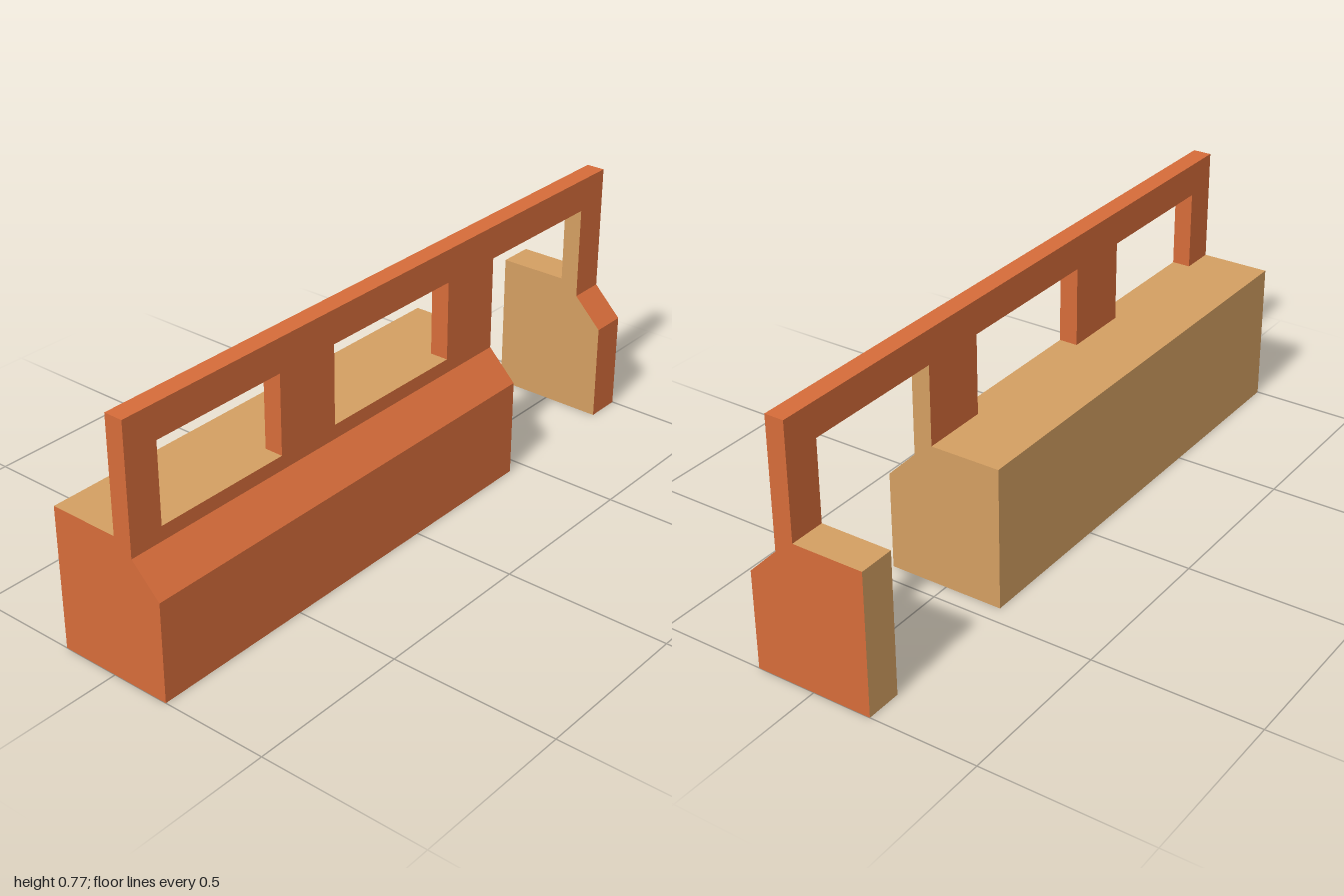
import * as THREE from 'three';

const orange = new THREE.MeshStandardMaterial({ color: 0xd66c3a, flatShading: true });
const tan = new THREE.MeshStandardMaterial({ color: 0xd49f62, flatShading: true });

const shapeOf = (points) => new THREE.Shape(points.map(([a, b]) => new THREE.Vector2(a, b)));

// Splits a solid into an orange and a tan mesh; rule(normal, centre) picks the colour, null drops hidden faces
function painted(name, geometry, rule) {
  const group = new THREE.Group();
  group.name = name;
  const source = geometry.index ? geometry.toNonIndexed() : geometry;
  const pos = source.attributes.position;
  const sets = new Map([[orange, []], [tan, []]]);
  const tri = new THREE.Triangle();
  const normal = new THREE.Vector3();
  const centre = new THREE.Vector3();
  for (let i = 0; i < pos.count; i += 3) {
    tri.setFromAttributeAndIndices(pos, i, i + 1, i + 2);
    tri.getNormal(normal);
    tri.getMidpoint(centre);
    const material = rule(normal, centre);
    if (!material) continue;
    for (const v of [tri.a, tri.b, tri.c]) sets.get(material).push(v.x, v.y, v.z);
  }
  for (const [material, list] of sets) {
    if (!list.length) continue;
    const part = new THREE.BufferGeometry();
    part.setAttribute('position', new THREE.Float32BufferAttribute(list, 3));
    part.computeVertexNormals();
    const mesh = new THREE.Mesh(part, material);
    mesh.name = name + (material === tan ? 'Inside' : 'Outside');
    group.add(mesh);
  }
  return group;
}

const DOOR = [0.445, 0.89]; // door opening in x
const SILL = 0.43, HEAD = 0.67, TOP = 0.77;
const WALL_BACK = 0.035, WALL_FRONT = 0.092;

// Base block with a sloped front shoulder, running from x0 to x1
function baseBlock(name, x0, x1, innerSide) {
  const profile = shapeOf([
    [-0.178, 0], [0.18, 0], [0.18, 0.298], [WALL_FRONT, 0.387], [WALL_FRONT, SILL], [-0.178, SILL],
  ]);
  const geometry = new THREE.ExtrudeGeometry(profile, { depth: x1 - x0, bevelEnabled: false });
  geometry.rotateY(-Math.PI / 2).translate(x1, 0, 0);
  return painted(name, geometry, (n) => {
    const inside = n.z < -0.9 || n.y > 0.9 || n.x * innerSide > 0.9;
    return inside ? tan : orange;
  });
}

// Thin wall with two windows and the door gap, open along its lower edge
function upperWall() {
  const outline = [[-1, SILL]];
  for (const [a, b] of [[-0.895, -0.46], [-0.25, 0.237], DOOR]) {
    outline.push([a, SILL], [a, HEAD], [b, HEAD], [b, SILL]);
  }
  outline.push([1, SILL], [1, TOP], [-1, TOP]);
  const geometry = new THREE.ExtrudeGeometry(shapeOf(outline), {
    depth: WALL_FRONT - WALL_BACK, bevelEnabled: false,
  });
  geometry.translate(0, 0, WALL_BACK);
  return painted('upperWall', geometry, (n, c) => {
    if (n.y < -0.9 && c.y < SILL + 0.01) return null;
    const doorJamb = Math.abs(n.x) > 0.9 && c.x > DOOR[0] - 0.01 && c.x < DOOR[1] + 0.01;
    return doorJamb ? tan : orange;
  });
}

export function createModel() {
  const model = new THREE.Group();
  model.name = 'wallWithWindowsAndDoorway';
  model.add(
    baseBlock('longBase', -1, DOOR[0], 1),
    baseBlock('doorPostBase', DOOR[1], 1, -1),
    upperWall(),
  );
  return model;
}
